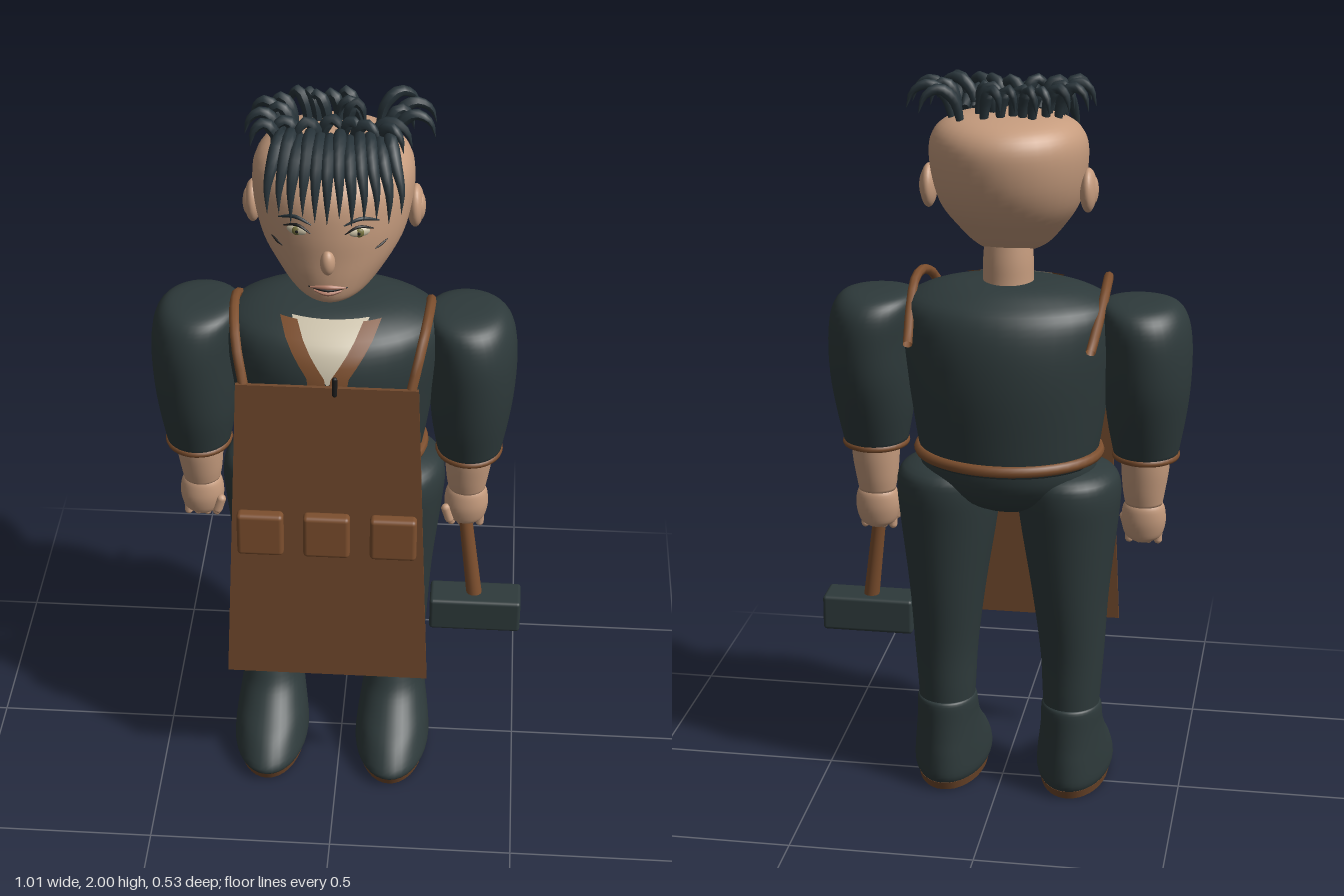
import * as THREE from 'three';
import { mergeVertices } from 'three/addons/utils/BufferGeometryUtils.js';
import { RoundedBoxGeometry } from 'three/addons/geometries/RoundedBoxGeometry.js';

const mat = (name, color, side = THREE.FrontSide) => {
  const m = new THREE.MeshStandardMaterial({ color, side });
  m.name = name;
  return m;
};
const V = (x, y, z) => new THREE.Vector3(x, y, z);

// Cross-sections are [y, centreX, halfWidth, frontZ, backZ], lowest first
const HEAD = [[1.537, 0, 0.02, 0.1, 0.02], [1.54, 0, 0.06, 0.14, -0.04], [1.56, 0, 0.1, 0.16, -0.1],
  [1.61, 0, 0.142, 0.168, -0.16], [1.67, 0, 0.18, 0.17, -0.215], [1.74, 0, 0.2, 0.172, -0.25],
  [1.82, 0, 0.206, 0.163, -0.263], [1.87, 0, 0.19, 0.13, -0.248], [1.9, 0, 0.15, 0.075, -0.205],
  [1.915, 0, 0.085, 0, -0.13], [1.918, 0, 0.01, -0.06, -0.075]];
const TORSO = [[0.98, 0, 0.235, 0.15, -0.24], [1.05, 0, 0.248, 0.165, -0.25], [1.2, 0, 0.27, 0.185, -0.265],
  [1.32, 0, 0.287, 0.19, -0.26], [1.4, 0, 0.285, 0.165, -0.235], [1.44, 0, 0.235, 0.12, -0.19],
  [1.465, 0, 0.15, 0.06, -0.14], [1.473, 0, 0.04, -0.02, -0.08]];
const PELVIS = [[0.84, 0, 0.09, 0.04, -0.11], [0.88, 0, 0.19, 0.09, -0.18], [0.94, 0, 0.235, 0.12, -0.22], [1, 0, 0.235, 0.13, -0.23]];
const NECK = [[1.42, 0, 0.07, 0.015, -0.125], [1.47, 0, 0.067, 0.01, -0.12], [1.53, 0, 0.066, 0.008, -0.118], [1.6, 0, 0.06, 0, -0.11]];
const LEG = [[0.22, 0.175, 0.075, 0.04, -0.12], [0.3, 0.175, 0.08, 0.055, -0.127], [0.42, 0.176, 0.088, 0.07, -0.137],
  [0.6, 0.17, 0.105, 0.085, -0.165], [0.8, 0.165, 0.132, 0.105, -0.19], [0.9, 0.164, 0.14, 0.11, -0.2],
  [0.95, 0.16, 0.125, 0.09, -0.185], [0.975, 0.155, 0.06, 0.03, -0.12]];
const BOOT = [[0.022, 0.175, 0.098, 0.255, -0.13], [0.045, 0.175, 0.106, 0.265, -0.14], [0.1, 0.175, 0.101, 0.215, -0.139],
  [0.15, 0.175, 0.093, 0.145, -0.135], [0.2, 0.175, 0.086, 0.09, -0.133], [0.255, 0.175, 0.083, 0.06, -0.132],
  [0.267, 0.175, 0.076, 0.05, -0.125]];
const SLEEVE = [[0.995, 0.367, 0.085, 0.065, -0.115], [1.1, 0.367, 0.104, 0.093, -0.155], [1.2, 0.369, 0.114, 0.108, -0.185],
  [1.3, 0.368, 0.117, 0.112, -0.195], [1.37, 0.36, 0.116, 0.1, -0.19], [1.41, 0.35, 0.106, 0.075, -0.165],
  [1.428, 0.343, 0.08, 0.03, -0.12], [1.433, 0.335, 0.02, -0.02, -0.06]];
const FOREARM = [[0.86, 0.365, 0.05, 0.012, -0.08], [0.9, 0.365, 0.057, 0.022, -0.09], [0.96, 0.367, 0.064, 0.032, -0.1], [1.02, 0.367, 0.066, 0.035, -0.105]];
const HAND = [[0.755, 0.365, 0.03, 0, -0.06], [0.77, 0.365, 0.05, 0.012, -0.07], [0.81, 0.365, 0.06, 0.02, -0.08],
  [0.85, 0.365, 0.056, 0.016, -0.08], [0.868, 0.365, 0.044, 0.008, -0.07]];

// Smooth interpolation between neighbouring sections
function sectionAt(secs, t) {
  const f = t * (secs.length - 1), i = Math.min(Math.floor(f), secs.length - 2), u = f - i;
  const at = (k) => secs[Math.max(0, Math.min(secs.length - 1, k))];
  return secs[0].map((_, k) => {
    const [a, b, c, d] = [at(i - 1)[k], at(i)[k], at(i + 1)[k], at(i + 2)[k]];
    return b + 0.5 * u * (c - a + u * (2 * a - 5 * b + 4 * c - d + u * (3 * (b - c) + d - a)));
  });
}

function loft(secs, side = 1) {
  const g = new THREE.CylinderGeometry(1, 1, 1, 36, (secs.length - 1) * 4);
  const p = g.attributes.position;
  for (let i = 0; i < p.count; i++) {
    const [y, xc, hx, zf, zb] = sectionAt(secs, p.getY(i) + 0.5);
    p.setXYZ(i, side * xc + hx * p.getX(i), y, (zf + zb) / 2 + ((zf - zb) / 2) * p.getZ(i));
  }
  g.deleteAttribute('normal');
  g.deleteAttribute('uv');
  const merged = mergeVertices(g, 1e-5);
  merged.computeVertexNormals();
  return merged;
}

// Front surface depth of a loft at x, y
function frontZ(secs, x, y) {
  let lo = 0, hi = 1;
  for (let i = 0; i < 24; i++) {
    const m = (lo + hi) / 2;
    if (sectionAt(secs, m)[0] < y) lo = m; else hi = m;
  }
  const [, , hx, zf, zb] = sectionAt(secs, lo);
  return (zf + zb) / 2 + ((zf - zb) / 2) * Math.sqrt(Math.max(0, 1 - (x / hx) ** 2));
}

// Tube whose thickness follows a rule along its length
function strand(points, r, rule) {
  const curve = new THREE.CatmullRomCurve3(points), n = 12, sides = 8;
  const g = new THREE.TubeGeometry(curve, n, r, sides);
  const p = g.attributes.position, v = V(0, 0, 0);
  for (let i = 0; i < p.count; i++) {
    const t = Math.floor(i / (sides + 1)) / n;
    v.fromBufferAttribute(p, i);
    v.lerpVectors(curve.getPointAt(t), v, rule(t));
    p.setXYZ(i, v.x, v.y, v.z);
  }
  g.computeVertexNormals();
  return g;
}
const lock = (t) => Math.max(0.02, t < 0.4 ? 0.6 + t : 1 - ((t - 0.4) / 0.6) ** 1.6);

// Flat grid bent by a rule (u, v in 0..1)
function patch(rule) {
  const g = new THREE.PlaneGeometry(1, 1, 8, 14), p = g.attributes.position;
  for (let i = 0; i < p.count; i++) p.setXYZ(i, ...rule(p.getX(i) + 0.5, p.getY(i) + 0.5));
  g.computeVertexNormals();
  return g;
}

export function createModel() {
  const skin = mat('skin', 0xc69c7e), cloth = mat('dark cloth', 0x2e3a3b), hair = mat('hair', 0x28343a);
  const leather = mat('leather', 0x71492c, THREE.DoubleSide), trim = mat('trim leather', 0x7d4f2e, THREE.DoubleSide);
  const linen = mat('linen', 0xcdc3ac, THREE.DoubleSide), iris = mat('iris', 0x77733f);
  const eyeWhite = mat('eye white', 0xc9bfa4), ink = mat('dark line', 0x1c1c1c), lip = mat('lip', 0xb57f6a);
  const root = new THREE.Group();
  const man = new THREE.Group();
  man.name = 'figure';
  man.position.x = -0.024;
  root.add(man);
  const add = (name, geo, m, x = 0, y = 0, z = 0) => {
    const o = new THREE.Mesh(geo, m);
    o.name = name;
    o.position.set(x, y, z);
    man.add(o);
    return o;
  };
  const ball = (name, m, x, y, z, rx, ry, rz) => {
    const o = add(name, new THREE.SphereGeometry(1, 24, 16), m, x, y, z);
    o.scale.set(rx, ry, rz);
    return o;
  };
  const onFace = (x, y, lift = 0.002) => V(x, y, frontZ(HEAD, x, y) + lift);
  const faceLine = (name, m, pts, r) => add(name, strand(pts.map(([x, y]) => onFace(x, y)), r, (t) => 0.3 + 0.7 * Math.sin(Math.PI * t)), m);

  // Body
  add('head', loft(HEAD), skin);
  add('neck', loft(NECK), skin);
  add('shirt', loft(TORSO), cloth);
  add('hips', loft(PELVIS), cloth);
  const hem = add('shirtHem', new THREE.TorusGeometry(1, 0.06, 8, 48), trim, 0, 1.003, -0.042);
  hem.rotation.x = Math.PI / 2;
  hem.scale.set(0.242, 0.207, 0.26);

  // Limbs and side details
  for (const s of [-1, 1]) {
    add('leg', loft(LEG, s), cloth);
    add('boot', loft(BOOT, s), cloth);
    add('sole', new THREE.CylinderGeometry(1, 0.94, 0.026, 36), leather, s * 0.175, 0.013, 0.062).scale.set(0.1, 1, 0.196);
    add('sleeve', loft(SLEEVE, s), cloth);
    const cuff = add('cuff', new THREE.TorusGeometry(1, 0.1, 8, 32), trim, s * 0.367, 0.998, -0.025);
    cuff.rotation.x = Math.PI / 2;
    cuff.scale.set(0.083, 0.088, 0.1);
    add('forearm', loft(FOREARM, s), skin);
    add('hand', loft(HAND, s), skin);
    for (let i = 0; i < 4; i++) {
      add('finger', new THREE.CapsuleGeometry(0.0115, 0.03, 4, 10), skin, s * 0.365 + (i - 1.5) * 0.026, 0.766, -0.02);
    }
    const thumb = add('thumb', new THREE.CapsuleGeometry(0.013, 0.035, 4, 10), skin, s * 0.315, 0.79, 0);
    thumb.rotation.z = s * 0.3;

    // Ears, eyes and face lines
    ball('ear', skin, s * 0.208, 1.716, -0.06, 0.022, 0.058, 0.046);
    ball('innerEar', skin, s * 0.22, 1.716, -0.055, 0.014, 0.038, 0.028);
    const e = onFace(s * 0.077, 1.752, -0.004);
    ball('eye', eyeWhite, e.x, e.y, e.z, 0.028, 0.013, 0.009).rotation.y = s * 0.35;
    ball('iris', iris, e.x, e.y, e.z + 0.004, 0.0125, 0.0125, 0.007);
    ball('pupil', ink, e.x, e.y, e.z + 0.008, 0.005, 0.006, 0.004);
    faceLine('eyelid', ink, [[s * 0.042, 1.752], [s * 0.075, 1.769], [s * 0.112, 1.757]], 0.004);
    faceLine('brow', hair, [[s * 0.04, 1.776], [s * 0.08, 1.79], [s * 0.125, 1.775]], 0.005);
    faceLine('cheekLine', ink, [[s * 0.115, 1.695], [s * 0.128, 1.7], [s * 0.145, 1.71]], 0.003);

    // Shoulder strap and collar edge
    add('strap', strand([V(s * 0.215, 1.32, 0.205), V(s * 0.235, 1.41, 0.165), V(s * 0.25, 1.455, 0.07), V(s * 0.255, 1.45, -0.03),
      V(s * 0.25, 1.4, -0.12), V(s * 0.238, 1.33, -0.22)], 0.013, () => 1), trim);
    add('collarEdge', patch((u, v) => {
      const y = 1.06 + 0.395 * v, x = s * (Math.max(0.004, (y - 1.33) * 0.68) + 0.046 * u);
      return [x, y, frontZ(TORSO, x, y) + 0.011];
    }), trim);
  }
  add('undershirt', patch((u, v) => {
    const y = 1.32 + 0.138 * v, x = (u - 0.5) * 2 * 0.1 * v;
    return [x, y, frontZ(TORSO, x, y) + 0.007];
  }), linen);

  // Nose and mouth
  ball('nose', skin, 0, 1.672, 0.17, 0.019, 0.034, 0.022);
  faceLine('upperLip', lip, [[-0.045, 1.594], [0, 1.6], [0.045, 1.594]], 0.006);
  faceLine('lowerLip', lip, [[-0.035, 1.587], [0, 1.581], [0.035, 1.587]], 0.007);
  faceLine('mouthLine', ink, [[-0.05, 1.595], [0, 1.59], [0.05, 1.595]], 0.004);

  // Apron with pockets and a tie at its top
  const apron = new THREE.BoxGeometry(2, 1, 0.01), ap = apron.attributes.position;
  for (let i = 0; i < ap.count; i++) {
    const top = ap.getY(i) > 0;
    ap.setXYZ(i, ap.getX(i) * (top ? 0.235 : 0.275), top ? 1.33 : 0.4, ap.getZ(i) + (top ? 0.212 : 0.24));
  }
  apron.computeVertexNormals();
  add('apron', apron, leather);
  for (const x of [-0.176, 0, 0.177]) add('pocket', new RoundedBoxGeometry(0.124, 0.13, 0.038, 3, 0.012), trim, x, 0.882, 0.245);
  add('apronTie', new THREE.CapsuleGeometry(0.007, 0.045, 4, 8), ink, 0.02, 1.333, 0.216);

  // Hammer
  const a = V(0.362, 0.79, -0.015), b = V(0.4, 0.5, 0.012);
  const handle = add('hammerHandle', new THREE.CylinderGeometry(0.018, 0.022, a.distanceTo(b), 16), trim);
  handle.position.lerpVectors(a, b, 0.5);
  handle.quaternion.setFromUnitVectors(V(0, 1, 0), a.clone().sub(b).normalize());
  add('hammerHead', new RoundedBoxGeometry(0.254, 0.1, 0.1, 3, 0.01), cloth, 0.401, 0.478, 0.013);

  // Fringe
  for (let i = 0; i < 12; i++) {
    const u = i / 11 - 0.5, x = 0.01 + u * 0.27, tip = 0.015 + u * 0.33, w = Math.sin(i * 2.4);
    const z = 0.188 - 0.14 * u * u;
    add('fringeLock', strand([V(x, 1.91, -0.01), V(x, 1.957 + 0.008 * w, 0.05), V((x + tip) / 2, 1.92, z - 0.045),
      V(tip, 1.86, z - 0.012), V(tip, 1.795 + 0.012 * w, z)], 0.018, lock), hair);
  }

  // Curled tufts on the crown: [rootX, rootZ, tipX, tipZ]
  const tufts = [[-0.13, -0.075, -0.21, -0.09], [-0.1, -0.095, -0.165, -0.115], [-0.1, -0.05, -0.17, -0.058], [-0.13, -0.025, -0.22, -0.015],
    [-0.13, 0.03, -0.2, 0.05], [-0.07, -0.13, -0.12, -0.16], [-0.045, -0.125, -0.085, -0.155], [-0.02, -0.12, -0.07, -0.135],
    [0.01, -0.135, -0.03, -0.14], [0.05, -0.145, 0.005, -0.16], [0.07, -0.1, 0.005, -0.1], [0.03, -0.09, 0.075, -0.09],
    [0.11, -0.14, 0.21, -0.18], [0.14, -0.09, 0.255, -0.11], [0.13, -0.05, 0.2, -0.07], [0.15, -0.035, 0.255, -0.03],
    [0.11, 0.02, 0.18, 0.065], [0.09, 0, 0.2, 0.03], [-0.08, 0.01, -0.15, 0.03], [-0.03, 0.01, -0.09, 0.04],
    [0.02, 0, 0.08, 0.03], [0.05, 0.015, 0.12, 0.045], [-0.03, 0, 0.03, 0.01]];
  for (const [x0, z0, x1, z1] of tufts) {
    const at = (t, y) => V(x0 + (x1 - x0) * t, y, z0 + (z1 - z0) * t);
    add('tuft', strand([at(0, 1.9), at(0.15, 1.955), at(0.5, 1.985), at(0.85, 1.968), at(1, 1.925)], 0.0165, lock), hair);
  }
  return root;
}
